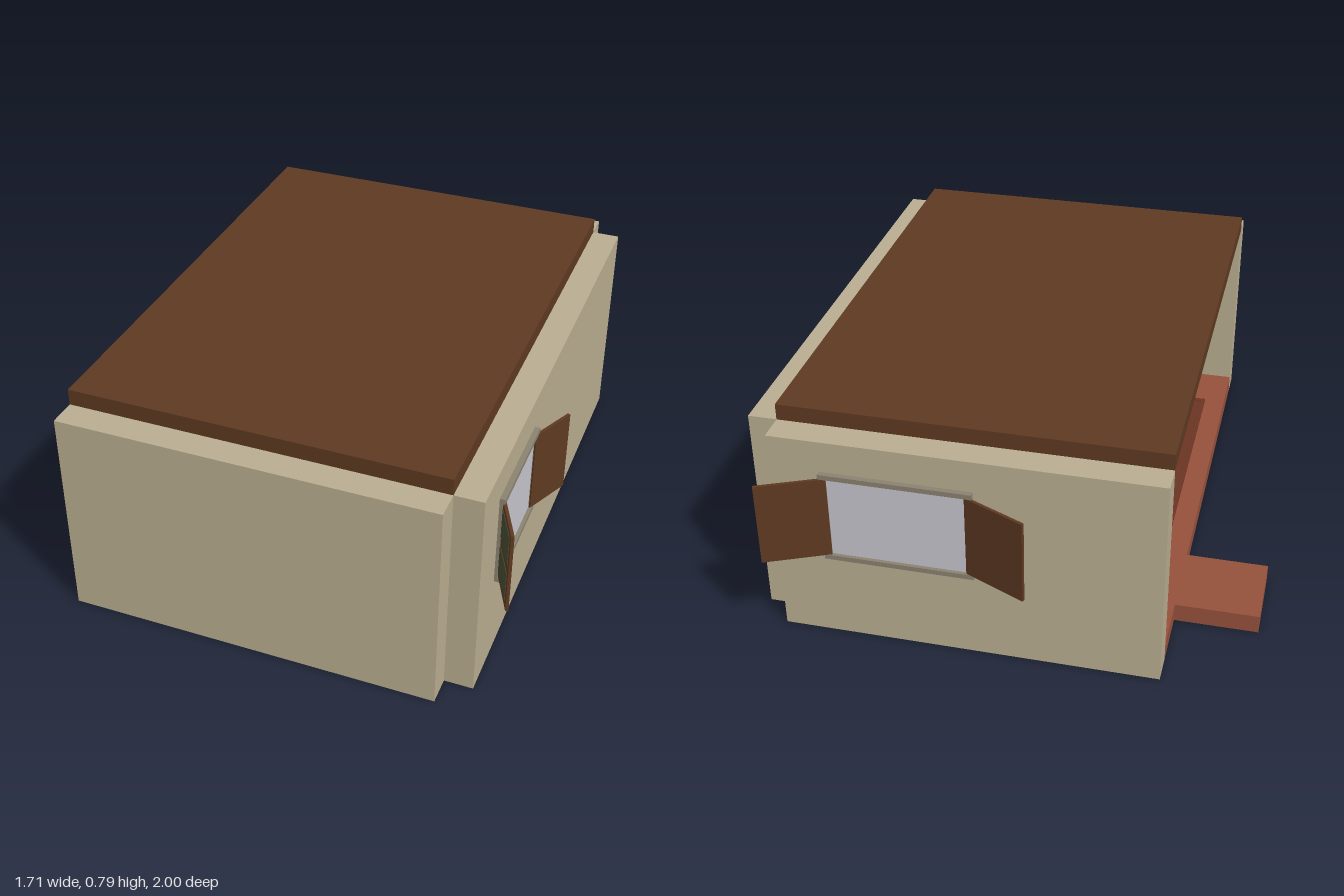
import * as THREE from 'three';

const mat = (name, color) => {
  const m = new THREE.MeshStandardMaterial({ color });
  m.name = name;
  return m;
};

export function createModel() {
  const plaster = mat('plaster', 0xb9ad90);
  const wood = mat('dark wood', 0x5e3921);
  const clay = mat('clay floor', 0x95513b);
  const green = mat('green paint', 0x474b31);
  const darkGreen = mat('dark green panel', 0x33371f);
  const glass = mat('pale glass', 0xc5c5cc);
  const stone = mat('window frame', 0x8b8270);
  const rugRed = mat('rug red', 0x6d3424);
  const cream = mat('cream', 0xd8cfb4);

  const model = new THREE.Group();
  model.name = 'openRoom';

  // Box given by its min and max on every axis
  const box = (name, material, [x0, x1], [y0, y1], [z0, z1], parent = model) => {
    const mesh = new THREE.Mesh(new THREE.BoxGeometry(x1 - x0, y1 - y0, z1 - z0), material);
    mesh.position.set((x0 + x1) / 2, (y0 + y1) / 2, (z0 + z1) / 2);
    mesh.name = name;
    parent.add(mesh);
    return mesh;
  };

  // Shell: floor, step, three walls and roof; the -x side stays open
  box('floor', clay, [-0.575, 0.675], [0, 0.065], [-0.805, 0.905]);
  box('doorStep', clay, [-0.855, -0.575], [0, 0.065], [-0.605, -0.33]);
  box('frontWall', plaster, [-0.575, 0.675], [0, 0.735], [0.905, 1]);
  box('backWall', plaster, [-0.575, 0.675], [0, 0.735], [-0.9, -0.805]);
  box('sideWall', plaster, [0.675, 0.77], [0, 0.735], [-0.805, 0.905]);
  box('roof', wood, [-0.575, 0.675], [0.735, 0.79], [-0.805, 0.905]);

  // Window with open shutters; local +z points out of the wall
  const makeWindow = (name, half, hinge, shutterLength) => {
    const win = new THREE.Group();
    win.name = name;
    const [y0, y1] = [0.305, 0.627];
    box('glass', glass, [-hinge, hinge], [y0 + 0.015, y1 - 0.015], [0, 0.006], win);
    box('innerGlass', glass, [-hinge, hinge], [y0 + 0.015, y1 - 0.015], [-0.101, -0.095], win);
    for (const [a, b] of [[y0, y0 + 0.017], [y1 - 0.017, y1]]) {
      box('frameRail', stone, [-half, half], [a, b], [0, 0.018], win);
      box('innerFrameRail', stone, [-half, half], [a, b], [-0.108, -0.095], win);
    }
    for (const s of [-1, 1]) {
      const span = (a, b) => (s > 0 ? [a, b] : [-b, -a]);
      box('frameSide', stone, span(hinge, half), [y0, y1], [0, 0.01], win);
      box('innerFrameSide', stone, span(hinge, half), [y0, y1], [-0.108, -0.095], win);
      // Shutter board, with painted panels on the face towards the wall
      const shutter = new THREE.Group();
      shutter.name = 'shutter';
      shutter.position.set(s * hinge, 0, 0.008);
      shutter.rotation.y = -s * 0.425;
      box('shutterBoard', wood, span(0, shutterLength), [0.322, 0.61], [-0.005, 0.005], shutter);
      for (const [a, b] of [[0.345, 0.452], [0.482, 0.59]]) {
        box('shutterPanel', green, span(0.02, shutterLength - 0.02), [a, b], [-0.007, -0.004], shutter);
      }
      win.add(shutter);
    }
    model.add(win);
    return win;
  };
  const sideWindow = makeWindow('sideWindow', 0.197, 0.173, 0.172);
  sideWindow.position.set(0.77, 0, 0.542);
  sideWindow.rotation.y = Math.PI / 2;
  const backWindow = makeWindow('backWindow', 0.245, 0.222, 0.222);
  backWindow.position.set(0.265, 0, -0.9);
  backWindow.rotation.y = Math.PI;

  // Counter with a row of inset panels facing the open side
  const [c0, c1] = [-0.45, 0.85];
  box('counterBody', green, [-0.19, -0.02], [0.065, 0.255], [c0, c1]);
  box('counterTop', wood, [-0.215, 0], [0.255, 0.28], [c0 - 0.02, c1 + 0.02]);
  const panels = 10;
  const pitch = (c1 - c0) / panels;
  for (let i = 0; i < panels; i++) {
    const z = c0 + i * pitch;
    box('counterPanel', darkGreen, [-0.195, -0.19], [0.09, 0.235], [z + 0.018, z + pitch - 0.018]);
  }

  // Boards and plates lying on the counter
  for (const z of [-0.15, 0.02, 0.19]) {
    box('servingBoard', rugRed, [-0.18, -0.08], [0.28, 0.29], [z - 0.055, z + 0.055]);
    box('servingPlate', cream, [-0.155, -0.105], [0.29, 0.297], [z - 0.03, z + 0.03]);
  }

  // Rug with a border line and a row of small ring motifs
  box('rug', rugRed, [-0.5, -0.25], [0.065, 0.071], [-0.2, 0.7]);
  for (const x of [-0.485, -0.269]) box('rugBorder', wood, [x, x + 0.004], [0.071, 0.073], [-0.185, 0.685]);
  for (const z of [-0.185, 0.681]) box('rugBorder', wood, [-0.485, -0.265], [0.071, 0.073], [z, z + 0.004]);
  for (let i = 0; i < 5; i++) {
    const ring = new THREE.Mesh(new THREE.RingGeometry(0.011, 0.021, 8, 1, 0.5, 5.2), cream);
    ring.name = 'rugMotif';
    ring.rotation.x = -Math.PI / 2;
    ring.position.set(-0.345, 0.074, 0.01 + i * 0.14);
    model.add(ring);
  }

  // Hanging lamps below the ceiling
  for (const z of [0.16, 0.45, 0.74]) {
    box('lampRod', wood, [-0.257, -0.243], [0.53, 0.735], [z - 0.007, z + 0.007]);
    box('lampArm', wood, [-0.29, -0.21], [0.515, 0.535], [z - 0.04, z + 0.04]);
    box('lampBody', wood, [-0.27, -0.23], [0.475, 0.515], [z - 0.02, z + 0.02]);
  }

  return model;
}
